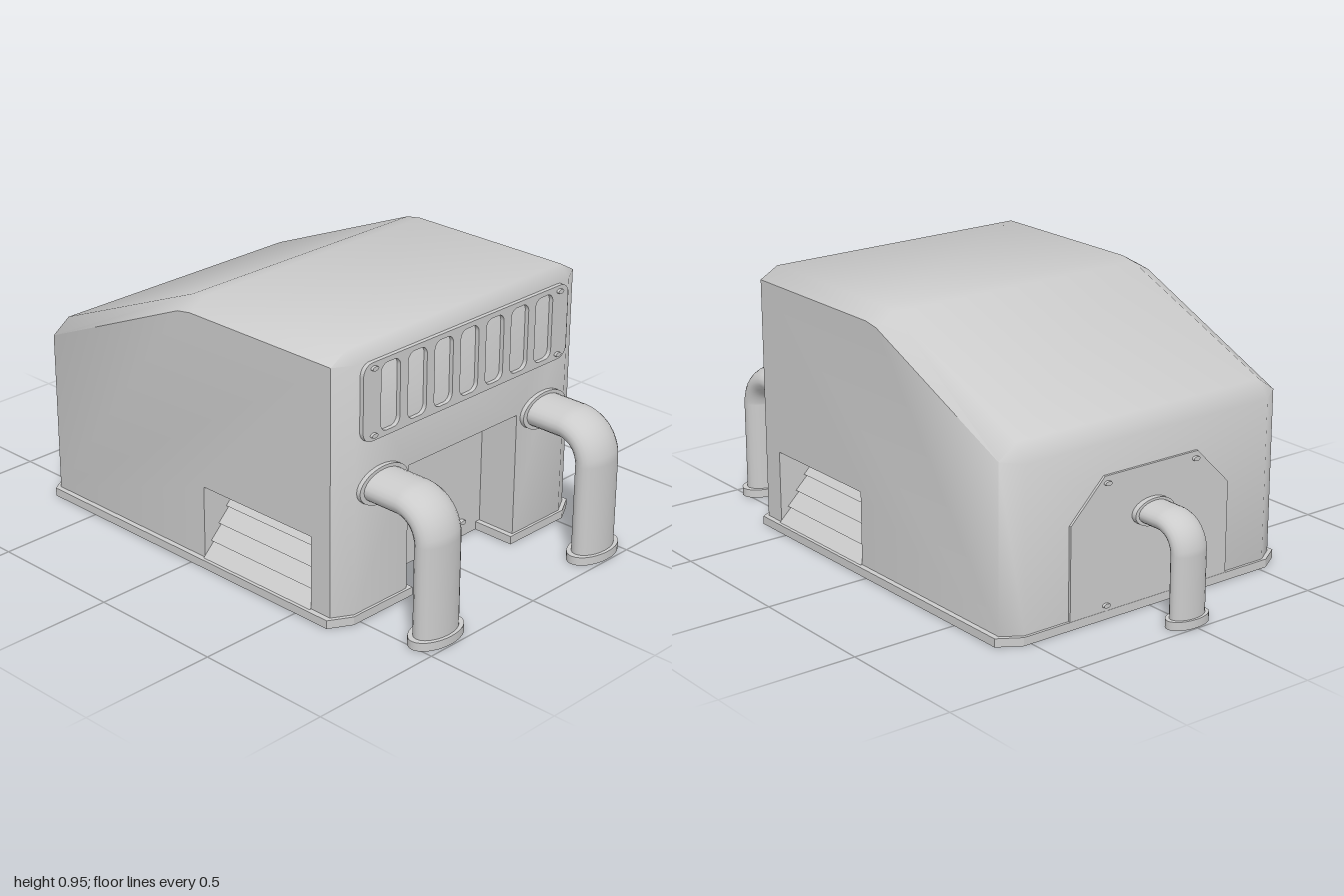
import * as THREE from 'three';
import { toCreasedNormals } from 'three/addons/utils/BufferGeometryUtils.js';

const grey = new THREE.MeshStandardMaterial({ color: 0xcccccc });
const greyDouble = new THREE.MeshStandardMaterial({ color: 0xcccccc, side: THREE.DoubleSide });
const V = (x, y, z) => new THREE.Vector3(x, y, z);
const CENTER = V(0, 0.4, 0);

function add(parent, name, geometry, material = grey) {
  const mesh = new THREE.Mesh(geometry, material);
  mesh.name = name;
  parent.add(mesh);
  return mesh;
}

const shapeOf = (pts) => new THREE.Shape(pts.map(([x, y]) => new THREE.Vector2(x, y)));

function roundedRect(path, cx, cy, w, h, r) {
  const x = cx - w / 2, y = cy - h / 2;
  path.moveTo(x + r, y);
  path.lineTo(x + w - r, y);
  path.absarc(x + w - r, y + r, r, -Math.PI / 2, 0);
  path.absarc(x + w - r, y + h - r, r, 0, Math.PI / 2);
  path.absarc(x + r, y + h - r, r, Math.PI / 2, Math.PI);
  path.absarc(x + r, y + r, r, Math.PI, Math.PI * 1.5);
  return path;
}

// Shell of the housing: flat walls with openings, joined by soft chamfers
function shellGeometry() {
  const out = [];
  const tri = (a, b, c) => {
    const n = b.clone().sub(a).cross(c.clone().sub(a));
    const mid = a.clone().add(b).add(c).divideScalar(3).sub(CENTER);
    const t = n.dot(mid) < 0 ? [a, c, b] : [a, b, c];
    t.forEach((p) => out.push(p.x, p.y, p.z));
  };
  const quad = (a, b, c, d) => { tri(a, b, c); tri(a, c, d); };
  const wall = (pts, place) => {
    const p2 = pts.map(([x, y]) => new THREE.Vector2(x, y));
    THREE.ShapeUtils.triangulateShape(p2, []).forEach((f) =>
      tri(...f.map((i) => place(p2[i].x, p2[i].y))));
  };
  // x, roof height, side wall height
  const ribs = [[0.64, 0.95, 0.91], [0, 0.95, 0.91], [-0.06, 0.94, 0.9], [-0.71, 0.67, 0.62]];
  const Z = 0.59, ZE = 0.52, XR = 0.68, XL = -0.755, y0 = 0.03;

  for (const s of [1, -1]) {
    // side wall with vent opening
    wall([[0.05, y0], [-0.71, y0], ...ribs.map((r) => [r[0], r[2]]).reverse(),
      [0.64, y0], [0.555, y0], [0.555, 0.295], [0.05, 0.295]], (x, y) => V(x, y, s * Z));
    // roof edge chamfers
    for (let i = 0; i < 3; i++) {
      const [xa, ta, ea] = ribs[i], [xb, tb, eb] = ribs[i + 1];
      quad(V(xa, ta, s * ZE), V(xb, tb, s * ZE), V(xb, eb, s * Z), V(xa, ea, s * Z));
    }
    // vertical corner chamfers
    for (const [xo, ho, r] of [[XR, 0.91, ribs[0]], [XL, 0.61, ribs[3]]]) {
      quad(V(xo, y0, s * ZE), V(xo, ho, s * ZE), V(r[0], r[2], s * Z), V(r[0], y0, s * Z));
      tri(V(xo, ho, s * ZE), V(r[0], r[2], s * Z), V(r[0], r[1], s * ZE));
    }
  }
  // roof strips, including the bevels at both ends
  const roof = [[XR, 0.91], ...ribs, [XL, 0.61]];
  for (let i = 0; i < roof.length - 1; i++) {
    const [xa, ya] = roof[i], [xb, yb] = roof[i + 1];
    quad(V(xa, ya, ZE), V(xa, ya, -ZE), V(xb, yb, -ZE), V(xb, yb, ZE));
  }
  // end walls
  wall([[-ZE, y0], [-ZE, 0.91], [ZE, 0.91], [ZE, y0], [0.27, y0], [0.27, 0.48], [-0.27, 0.48], [-0.27, y0]],
    (z, y) => V(XR, y, z));
  wall([[-ZE, y0], [-ZE, 0.61], [ZE, 0.61], [ZE, y0]], (z, y) => V(XL, y, z));

  const g = new THREE.BufferGeometry();
  g.setAttribute('position', new THREE.Float32BufferAttribute(out, 3));
  return toCreasedNormals(g, 1.05);
}

// Box without its front and bottom, opening towards +z
function recessGeometry(w, h, d) {
  const g = new THREE.BoxGeometry(w, h, d);
  const idx = Array.from(g.index.array);
  g.setIndex([...idx.slice(0, 18), ...idx.slice(30)]);
  return g;
}

// Flat oval bolt head facing along x
function bolt(parent, x, y, z) {
  const m = add(parent, 'bolt', new THREE.CylinderGeometry(0.014, 0.016, 0.018, 12).rotateZ(-Math.PI / 2));
  m.position.set(x, y, z);
  m.scale.set(x < 0 ? -1 : 1, 0.55, 1);
}

// Oval pipe leaving a wall along dir, bending down to the ground
function pipe(name, dir, wallX, footX, y, z, r, bend, widen) {
  const group = new THREE.Group();
  group.name = name;
  const k = footX - bend;
  const path = new THREE.CurvePath();
  const a = V(wallX, y, 0), b = V(k, y, 0), c = V(footX, y - bend, 0), d = V(footX, 0.01, 0);
  path.add(new THREE.LineCurve3(a, b));
  path.add(new THREE.QuadraticBezierCurve3(b, V(footX - bend * 0.15, y - bend * 0.15, 0), c));
  path.add(new THREE.LineCurve3(c, d));
  add(group, 'pipeTube', new THREE.TubeGeometry(path, 40, r, 24, false));
  const collar = add(group, 'wallFlange', new THREE.CylinderGeometry(r * 1.2, r * 1.2, 0.025, 28).rotateZ(Math.PI / 2));
  collar.position.set(wallX + 0.008, y, 0);
  const foot = add(group, 'footFlange', new THREE.CylinderGeometry(r * 1.22, r * 1.22, 0.03, 28));
  foot.position.set(footX, 0.015, 0);
  group.scale.set(dir, 1, widen);
  group.position.z = z;
  return group;
}

export function createModel() {
  const model = new THREE.Group();
  model.name = 'machineHousing';

  add(model, 'housingShell', shellGeometry());

  // Base plate with cut corners and a notch below the service bay
  const plan = [[-0.765, -0.53], [-0.715, -0.61], [0.645, -0.61], [0.69, -0.53], [0.69, -0.25], [0.53, -0.25],
    [0.53, 0.25], [0.69, 0.25], [0.69, 0.53], [0.645, 0.61], [-0.715, 0.61], [-0.765, 0.53]];
  add(model, 'basePlate', new THREE.ExtrudeGeometry(shapeOf(plan), { depth: 0.03, bevelEnabled: false })
    .rotateX(-Math.PI / 2));

  // Service bay
  add(model, 'serviceBay', recessGeometry(0.54, 0.45, 0.15).rotateY(Math.PI / 2).translate(0.605, 0.255, 0), greyDouble);
  for (const y of [0.06, 0.45]) for (const z of [-0.17, 0.17]) bolt(model, 0.535, y, z);

  // Louvred vents on both sides
  const saw = [[0.38, 0.03]];
  for (let i = 0; i < 5; i++) {
    const z = 0.597 - 0.036 * i, y = 0.03 + 0.053 * i;
    saw.push([z, y], [z - 0.055, y + 0.053]);
  }
  saw.push([0.38, 0.295]);
  for (const s of [1, -1]) {
    const vent = new THREE.Group();
    vent.name = s > 0 ? 'frontVent' : 'backVent';
    add(vent, 'ventRecess', recessGeometry(0.505, 0.265, 0.21).translate(0.3025, 0.1625, 0.485), greyDouble);
    add(vent, 'ventLouvres', new THREE.ExtrudeGeometry(shapeOf(saw), { depth: 0.505, bevelEnabled: false })
      .rotateY(-Math.PI / 2).translate(0.555, 0, 0));
    vent.scale.z = s;
    model.add(vent);
  }

  // Slotted grille
  const grille = roundedRect(new THREE.Shape(), 0, 0.77, 1, 0.27, 0.04);
  for (let i = -3; i <= 3; i++) {
    grille.holes.push(roundedRect(new THREE.Path(), i * 0.125, 0.77, 0.088, 0.234, 0.028));
  }
  add(model, 'grillePanel', new THREE.ExtrudeGeometry(grille, { depth: 0.017, bevelEnabled: false, curveSegments: 5 })
    .rotateY(Math.PI / 2).translate(0.678, 0, 0));
  for (const y of [0.655, 0.885]) for (const z of [-0.453, 0.453]) bolt(model, 0.695, y, z);

  // Access plate with cut upper corners
  const plate = [[-0.34, 0.03], [0.34, 0.03], [0.34, 0.36], [0.2, 0.5], [-0.2, 0.5], [-0.34, 0.36]];
  add(model, 'accessPlate', new THREE.ExtrudeGeometry(shapeOf(plate), { depth: 0.012, bevelEnabled: false })
    .rotateY(-Math.PI / 2).translate(-0.752, 0, 0));
  for (const y of [0.05, 0.475]) for (const z of [-0.19, 0.19]) bolt(model, -0.764, y, z);

  // Pipes
  for (const z of [0.4, -0.4]) {
    model.add(pipe(z > 0 ? 'frontPipe' : 'backPipe', 1, 0.675, 0.928, 0.465, z, 0.055, 0.1, 1.7));
  }
  model.add(pipe('smallPipe', -1, 0.763, 0.948, 0.338, 0, 0.04, 0.08, 1.75));

  return model;
}
